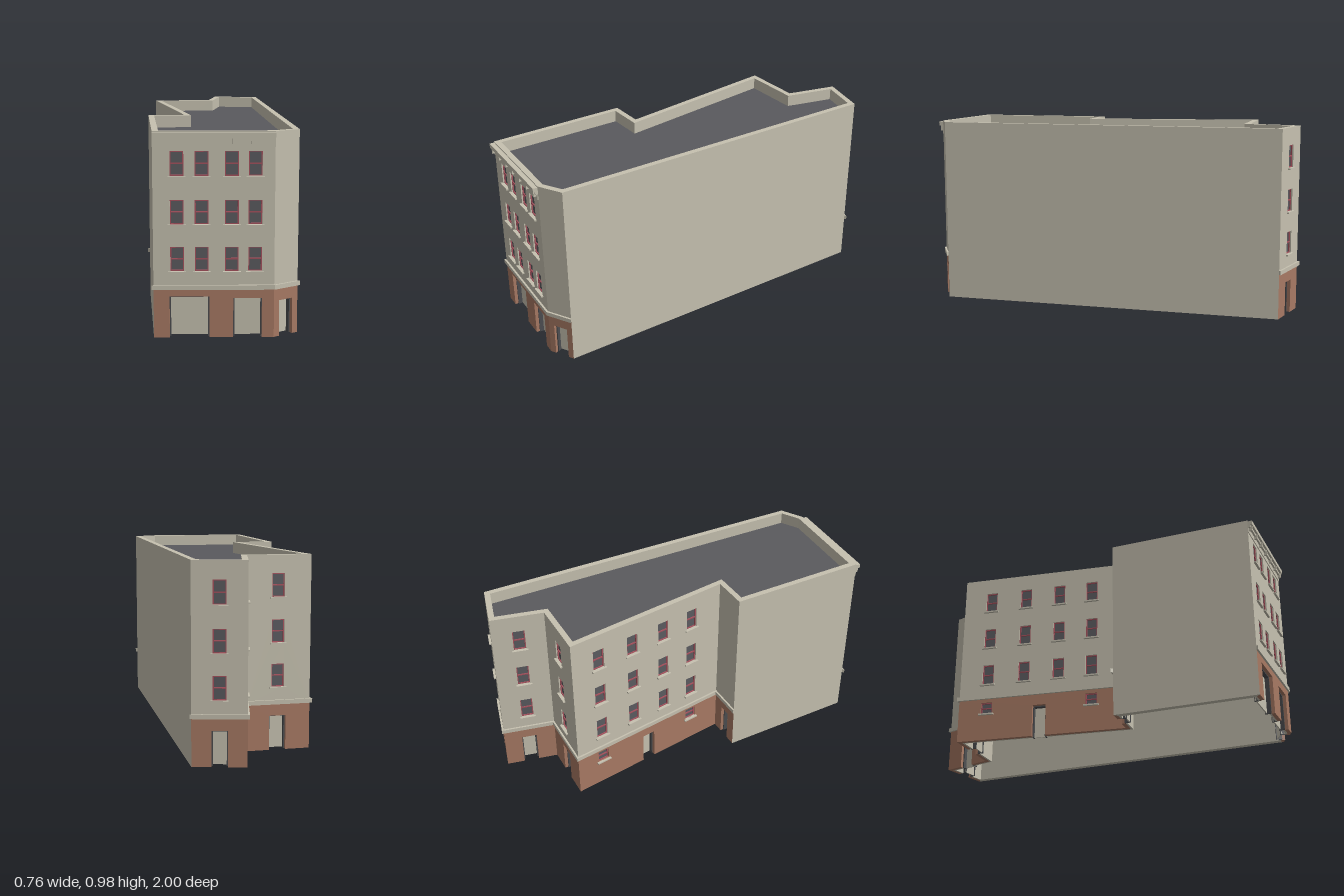
import * as THREE from 'three';

const mat = (name, color, side = THREE.FrontSide) => {
  const m = new THREE.MeshStandardMaterial({ color, side });
  m.name = name;
  return m;
};

export function createModel() {
  const render = mat('cream render', 0xc6c1b0);
  const brick = mat('red brick', 0xa87a64);
  const glass = mat('dark glass', 0x5b5b60);
  const frameRed = mat('red window frame', 0xa8525e);
  const roofGrey = mat('roof felt', 0x5a5a5e, THREE.DoubleSide);
  const jambGrey = mat('dark door jamb', 0x4c4d50);

  const TOP = 0.983, ROOF = 0.92, BRICK = 0.235, BAND = 0.257, THICK = 0.03;

  // Footprint corners (x, z), starting at the front and going round
  const plan = [
    [-0.315, 0.975], [0.253, 0.975], [0.37, 0.9], [0.262, -0.94], [0, -0.99],
    [-0.045, -0.715], [-0.372, -0.695], [-0.18, 0.215], [-0.37, 0.23],
  ].map(([x, z]) => new THREE.Vector2(x, z));
  const count = plan.length;

  // Direction and outward normal of each wall, and the mitre at each corner
  const edges = plan.map((p, i) => {
    const q = plan[(i + 1) % count];
    const dir = q.clone().sub(p);
    const length = dir.length();
    dir.normalize();
    return { p, dir, length, out: new THREE.Vector2(-dir.y, dir.x) };
  });
  const mitre = edges.map((e, i) => {
    const prev = edges[(i + count - 1) % count].out;
    return prev.clone().add(e.out).multiplyScalar(-1 / (1 + prev.dot(e.out)));
  });

  const model = new THREE.Group();
  model.name = 'cornerBuilding';

  const makeWall = (i, name) => {
    const e = edges[i];
    const g = new THREE.Group();
    g.name = name;
    g.matrix.makeBasis(
      new THREE.Vector3(e.dir.x, 0, e.dir.y),
      new THREE.Vector3(0, 1, 0),
      new THREE.Vector3(e.out.x, 0, e.out.y),
    ).setPosition(e.p.x, 0, e.p.y);
    g.matrix.decompose(g.position, g.quaternion, g.scale);
    model.add(g);

    const L = e.length;
    const startShift = mitre[i].dot(e.dir), endShift = mitre[(i + 1) % count].dot(e.dir);
    const add = (geo, material, label) => {
      const m = new THREE.Mesh(geo, material);
      m.name = label;
      g.add(m);
    };
    // Mitred slab between two depths, with door notches and window holes
    const slab = (label, material, y0, y1, d0, d1, doors = [], windows = []) => {
      const s = new THREE.Shape();
      s.moveTo(0, y0);
      for (const [a, b, h] of doors) {
        s.lineTo(a, y0).lineTo(a, h).lineTo(b, h).lineTo(b, y0);
      }
      s.lineTo(L, y0).lineTo(L, y1).lineTo(0, y1).closePath();
      for (const [a, b, c, d] of windows) {
        s.holes.push(new THREE.Path().moveTo(a, c).lineTo(a, d).lineTo(b, d).lineTo(b, c).closePath());
      }
      const geo = new THREE.ExtrudeGeometry(s, { depth: d1 - d0, bevelEnabled: false });
      geo.translate(0, 0, -d1);
      const pos = geo.attributes.position;
      for (let k = 0; k < pos.count; k++) {
        const u = pos.getX(k), depth = -pos.getZ(k);
        if (u < 1e-4) pos.setX(k, depth * startShift);
        else if (u > L - 1e-4) pos.setX(k, L + depth * endShift);
      }
      geo.computeVertexNormals();
      add(geo, material, label);
    };
    const box = (label, material, a, b, y0, y1, d0, d1) => {
      const geo = new THREE.BoxGeometry(b - a, y1 - y0, d1 - d0);
      geo.translate((a + b) / 2, (y0 + y1) / 2, -(d0 + d1) / 2);
      add(geo, material, label);
    };
    return { L, slab, box };
  };

  // Sash window: glass, red frame with a middle rail, and a projecting sill
  const sash = (wall, [a, b, c, d]) => {
    const f = 0.005, mid = (c + d) / 2;
    wall.box('windowGlass', glass, a, b, c, d, 0.013, 0.018);
    for (const [x0, x1, y0, y1] of [[a, a + f, c, d], [b - f, b, c, d],
      [a + f, b - f, c, c + f], [a + f, b - f, d - f, d], [a + f, b - f, mid - 0.003, mid + 0.003]]) {
      wall.box('windowFrame', frameRed, x0, x1, y0, y1, 0.007, 0.013);
    }
    wall.box('windowSill', render, a - 0.01, b + 0.01, c - 0.008, c, -0.012, 0.013);
  };

  // Recessed door panel inside dark jambs
  const doorway = (wall, [a, b, h]) => {
    const t = 0.006;
    wall.box('doorPanel', render, a, b, 0.003, h, 0.04, 0.046);
    wall.box('doorJamb', jambGrey, a, a + t, 0, h, 0.018, 0.05);
    wall.box('doorJamb', jambGrey, b - t, b, 0, h, 0.018, 0.05);
    wall.box('doorHead', jambGrey, a, b, h - t, h, 0.018, 0.05);
  };

  const floors = [[0.323, 0.44], [0.547, 0.663], [0.775, 0.892]];

  // Brick-based walls: window columns and doors as fractions of the wall length
  const facades = [
    { i: 0, name: 'frontWall', cols: [0.197, 0.4, 0.648, 0.84], doors: [[0.132, 0.463, 0.2], [0.661, 0.9, 0.193]] },
    { i: 1, name: 'chamferedCornerWall', cols: [], doors: [[0.22, 0.78, 0.176]] },
    { i: 3, name: 'backWall', cols: [0.5], doors: [[0.36, 0.65, 0.176]] },
    { i: 4, name: 'backReturnWall', cols: [0.5], doors: [[0.34, 0.63, 0.176]] },
    { i: 5, name: 'backStepWall', cols: [0.49], doors: [[0.36, 0.62, 0.176]] },
    { i: 6, name: 'courtyardWall', cols: [0.17, 0.39, 0.6, 0.8], doors: [[0.45, 0.53, 0.176]], low: [0.17, 0.8] },
    { i: 7, name: 'courtyardEndWall', cols: [], doors: [[0.33, 0.68, 0.176]] },
  ];
  for (const { i, name, cols, doors, low = [] } of facades) {
    const wall = makeWall(i, name);
    const half = 0.032;
    const span = (c) => [c * wall.L - half, c * wall.L + half];
    const openings = doors.map(([a, b, h]) => [a * wall.L, b * wall.L, h]);
    const upper = cols.flatMap((c) => floors.map((f) => [...span(c), ...f]));
    const lower = low.map((c) => [...span(c), 0.15, 0.215]);
    wall.slab('brickBase', brick, 0, BRICK, 0, 0.02, openings, lower);
    wall.slab('innerLining', render, 0, BRICK, 0.02, THICK, openings, lower);
    wall.slab('upperWall', render, BRICK, TOP, 0, THICK, [], upper);
    wall.slab('bandCourse', render, BRICK, BAND, -0.01, 0.001);
    upper.concat(lower).forEach((w) => sash(wall, w));
    openings.forEach((d) => doorway(wall, d));

    // Cornice with brackets along the front only
    if (i === 0) {
      wall.box('frieze', render, 0, wall.L, 0.91, 0.942, -0.004, 0.001);
      wall.box('corniceMoulding', render, 0, wall.L, 0.94, 0.954, -0.014, 0.001);
      wall.box('corniceCap', render, 0, wall.L, 0.954, 0.977, -0.025, 0.001);
      for (let k = 0; k < 7; k++) {
        const u = 0.015 + k * 0.0895;
        wall.box('corniceBracket', render, u - 0.005, u + 0.005, 0.925, 0.954, -0.02, 0.001);
      }
    }
  }

  // Plain party walls
  for (const [i, name] of [[2, 'rightPartyWall'], [8, 'leftPartyWall']]) {
    makeWall(i, name).slab('plainWall', render, 0, TOP, 0, THICK);
  }

  // Flat roof sunk behind the parapet
  const inner = plan.map((p, i) => p.clone().addScaledVector(mitre[i], THICK - 0.002));
  const roofGeo = new THREE.ShapeGeometry(new THREE.Shape(inner.map((p) => new THREE.Vector2(p.x, -p.y))));
  roofGeo.rotateX(-Math.PI / 2).translate(0, ROOF, 0);
  const roof = new THREE.Mesh(roofGeo, roofGrey);
  roof.name = 'roof';
  model.add(roof);

  return model;
}
